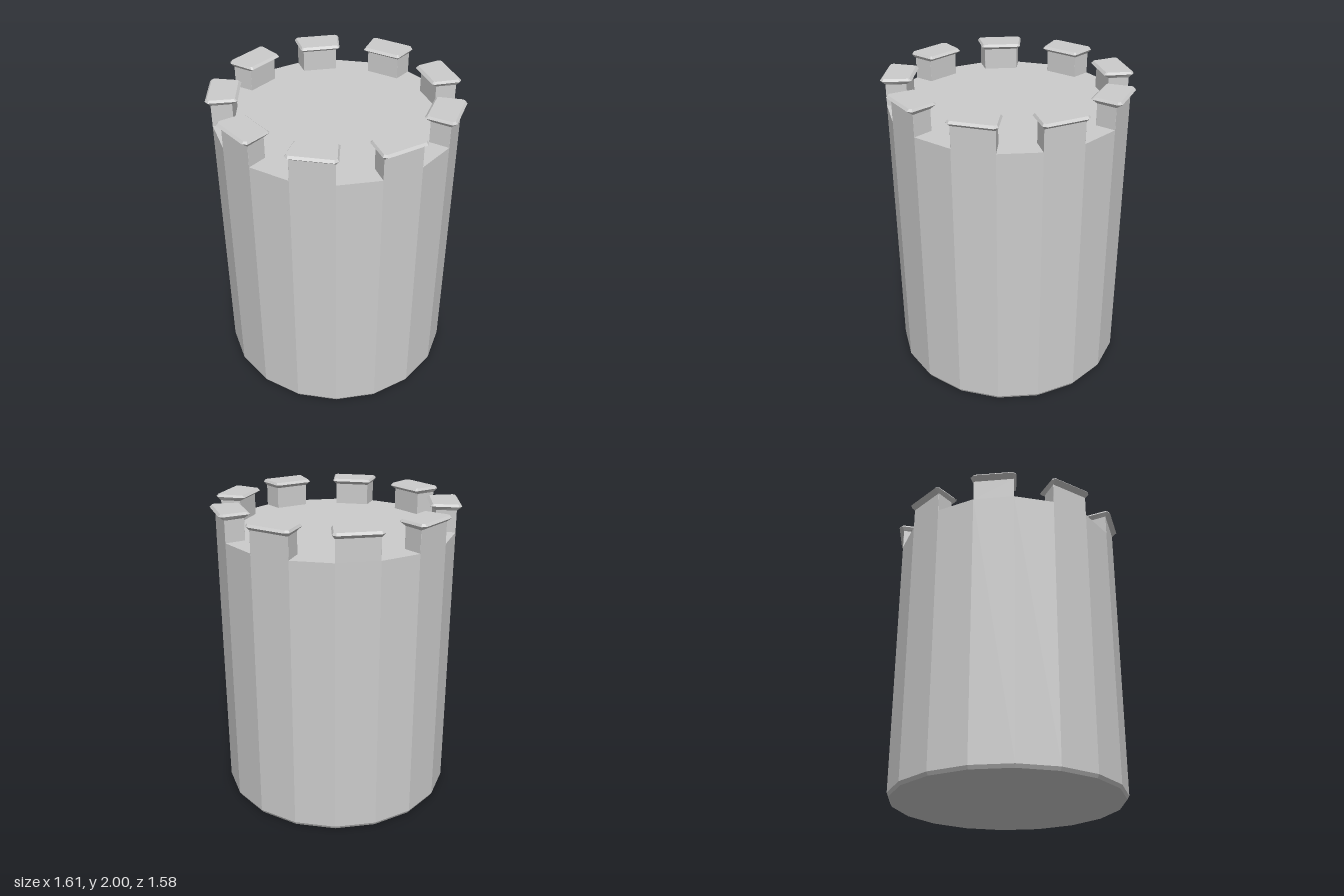
import * as THREE from 'three';

const SIDES = 18;
const RADIUS = 0.77;
const FLOOR = 1.82;
const STEP = (Math.PI * 2) / SIDES;

function flat(geometry) {
  const g = geometry.index ? geometry.toNonIndexed() : geometry;
  g.computeVertexNormals();
  return g;
}

// Trapezoid outline with cut corners: outer/inner half widths and distances from the axis
function ring(y, wo, zo, wi, zi, cut) {
  const half = [[wo - cut, zo], [wo, zo - cut], [wi, zi + cut / 2], [wi - cut / 2, zi]];
  const mirrored = half.map(([x, z]) => [-x, z]).reverse();
  return [...half, ...mirrored].map(([x, z]) => [x, y, z]);
}

// Joins the rings from bottom to top and closes the top
function loft(rings) {
  const n = rings[0].length;
  const index = [];
  for (let r = 0; r < rings.length - 1; r++) {
    for (let i = 0; i < n; i++) {
      const a = r * n + i, b = r * n + ((i + 1) % n);
      index.push(a, b, b + n, a, b + n, a + n);
    }
  }
  const top = (rings.length - 1) * n;
  for (let i = 1; i < n - 1; i++) index.push(top, top + i, top + i + 1);
  const g = new THREE.BufferGeometry();
  g.setAttribute('position', new THREE.Float32BufferAttribute(rings.flat(2), 3));
  g.setIndex(index);
  return flat(g);
}

export function createModel() {
  const model = new THREE.Group();
  model.name = 'tower';
  const material = new THREE.MeshStandardMaterial({ color: 0xcccccc, flatShading: true });

  // Faceted drum with a small bevel around the foot
  const profile = [[0, 0], [0.757, 0], [RADIUS, 0.022], [RADIUS, FLOOR], [0, FLOOR]]
    .map(([x, y]) => new THREE.Vector2(x, y));
  const body = new THREE.Mesh(flat(new THREE.LatheGeometry(profile, SIDES, STEP / 2)), material);
  body.name = 'towerBody';
  model.add(body);

  // Merlons on every second facet: tapered stem, flared rim, bevelled top
  const zo = RADIUS * Math.cos(STEP / 2), wo = RADIUS * Math.sin(STEP / 2);
  const zi = 0.63, wi = zi * Math.tan(STEP / 2);
  const merlonGeometry = loft([
    ring(FLOOR, wo, zo, wi, zi, 0.001),
    ring(1.96, wo, zo, wi, zi, 0.001),
    ring(1.985, 0.153, 0.792, 0.131, 0.594, 0.022),
    ring(2, 0.143, 0.779, 0.122, 0.609, 0.014),
  ]);
  for (let i = 0; i < SIDES / 2; i++) {
    const merlon = new THREE.Mesh(merlonGeometry, material);
    merlon.name = `merlon${i + 1}`;
    merlon.rotation.y = Math.PI + i * STEP * 2;
    model.add(merlon);
  }

  model.position.z = 0.003;
  return model;
}
